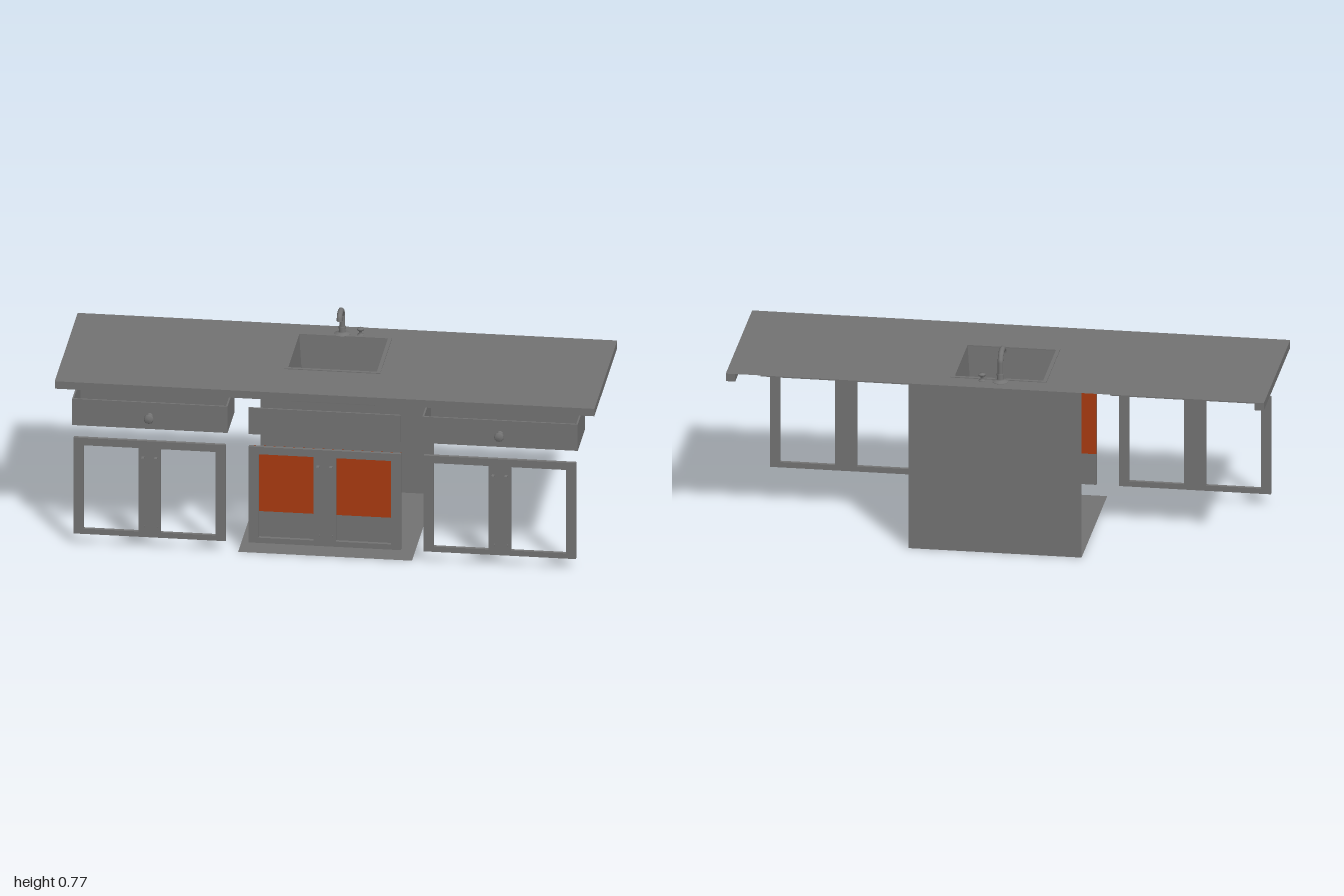
import * as THREE from 'three';

const grey = new THREE.MeshStandardMaterial({ color: 0x737373, side: THREE.DoubleSide });
grey.name = 'grey';
const orange = new THREE.MeshStandardMaterial({ color: 0xa83a10, side: THREE.DoubleSide });
orange.name = 'burnt orange';

function add(parent, name, geometry, material = grey) {
  const mesh = new THREE.Mesh(geometry, material);
  mesh.name = name;
  parent.add(mesh);
  return mesh;
}

// Box given by its limits on each axis
function box(parent, name, x0, x1, y0, y1, z0, z1, material) {
  const mesh = add(parent, name, new THREE.BoxGeometry(x1 - x0, y1 - y0, z1 - z0), material);
  mesh.position.set((x0 + x1) / 2, (y0 + y1) / 2, (z0 + z1) / 2);
  return mesh;
}

// Upright plane given by its limits
function sheet(parent, name, x0, x1, y0, y1, z, material) {
  const mesh = add(parent, name, new THREE.PlaneGeometry(x1 - x0, y1 - y0), material);
  mesh.position.set((x0 + x1) / 2, (y0 + y1) / 2, z);
  return mesh;
}

function rect(path, x0, x1, y0, y1) {
  path.moveTo(x0, y0);
  path.lineTo(x1, y0);
  path.lineTo(x1, y1);
  path.lineTo(x0, y1);
  path.closePath();
  return path;
}

// Pair of framed doors with two tall bar handles
function doorPair(parent, name, x) {
  const group = new THREE.Group();
  group.name = name;
  group.position.x = x;
  parent.add(group);
  const shape = rect(new THREE.Shape(), -0.282, 0.282, 0.044, 0.427);
  shape.holes.push(rect(new THREE.Path(), -0.245, -0.041, 0.065, 0.398));
  shape.holes.push(rect(new THREE.Path(), 0.041, 0.245, 0.065, 0.398));
  const frame = add(group, 'doorFrame', new THREE.ExtrudeGeometry(shape, { depth: 0.014, bevelEnabled: false }));
  frame.position.z = 0.292;
  for (const s of [-1, 1]) {
    const hx = s * 0.024;
    box(group, 'handleBar', hx - 0.005, hx + 0.005, 0.084, 0.366, 0.319, 0.325);
    for (const y of [0.087, 0.363]) box(group, 'handlePost', hx - 0.005, hx + 0.005, y - 0.003, y + 0.003, 0.304, 0.32);
  }
  return group;
}

// Open-topped drawer with a round knob
function drawer(parent, x) {
  const group = new THREE.Group();
  group.name = 'drawer';
  group.position.x = x;
  parent.add(group);
  const w = 0.288, y0 = 0.474, y1 = 0.579;
  box(group, 'drawerFront', -w, w, y0, y1, 0.293, 0.3);
  box(group, 'drawerBack', -w, w, y0, y1, 0.1, 0.106);
  box(group, 'drawerBottom', -w, w, y0, y0 + 0.006, 0.1, 0.293);
  for (const s of [-1, 1]) {
    const a = s * w, b = s * (w - 0.006);
    box(group, 'drawerSide', Math.min(a, b), Math.max(a, b), y0, y1, 0.1, 0.293);
  }
  const profile = [[0.012, 0], [0.012, 0.003], [0.009, 0.006], [0.009, 0.018], [0.015, 0.021],
    [0.018, 0.026], [0.018, 0.033], [0.014, 0.039], [0, 0.04]].map(p => new THREE.Vector2(...p));
  const knob = add(group, 'drawerKnob', new THREE.LatheGeometry(profile, 12));
  knob.rotation.x = Math.PI / 2;
  knob.position.set(0, 0.526, 0.3);
}

function countertop(parent) {
  // Top sheet with a sink cut-out, closed by lips at the front and both ends
  const shape = rect(new THREE.Shape(), -1, 1, -0.31, 0.337);
  shape.holes.push(rect(new THREE.Path(), -0.168, 0.166, -0.078, 0.243));
  const top = add(parent, 'countertop', new THREE.ShapeGeometry(shape));
  top.rotation.x = -Math.PI / 2;
  top.position.y = 0.65;
  box(parent, 'countertopFrontLip', -1, 1, 0.62, 0.6495, 0.28, 0.31);
  for (const s of [-1, 1]) {
    box(parent, 'countertopEndLip', s > 0 ? 0.965 : -1, s > 0 ? 1 : -0.965, 0.62, 0.6495, -0.337, 0.28);
  }
}

function sink(parent) {
  // Raised rim
  const shape = rect(new THREE.Shape(), -0.179, 0.177, -0.088, 0.253);
  shape.holes.push(rect(new THREE.Path(), -0.165, 0.163, -0.075, 0.24));
  const rim = add(parent, 'sinkRim', new THREE.ExtrudeGeometry(shape, { depth: 0.004, bevelEnabled: false }));
  rim.rotation.x = -Math.PI / 2;
  rim.position.y = 0.649;

  // Tapered open basin: a box without its top, narrowed towards the floor
  const g = new THREE.BoxGeometry(0.33, 0.137, 0.318);
  const p = g.attributes.position;
  for (let i = 0; i < p.count; i++) {
    if (p.getY(i) < 0) {
      p.setX(i, p.getX(i) * 0.94);
      p.setZ(i, p.getZ(i) * 0.945);
    }
  }
  const index = Array.from(g.index.array);
  index.splice(12, 6);
  g.setIndex(index);
  g.clearGroups();
  g.computeVertexNormals();
  add(parent, 'sinkBasin', g).position.set(-0.001, 0.5825, -0.081);

  const drain = add(parent, 'sinkDrain', new THREE.CylinderGeometry(0.027, 0.027, 0.004, 8));
  drain.position.set(-0.01, 0.516, -0.15);
}

function faucet(parent) {
  const group = new THREE.Group();
  group.name = 'faucet';
  group.position.set(-0.01, 0, -0.267);
  parent.add(group);
  const base = [[0.03, 0.65], [0.03, 0.653], [0.016, 0.658], [0.012, 0.662], [0.014, 0.68], [0.011, 0.682]];
  add(group, 'faucetBase', new THREE.LatheGeometry(base.map(q => new THREE.Vector2(...q)), 12));

  // Curved spout reaching forward over the basin
  const points = [[0.66, 0], [0.7, 0], [0.728, 0], [0.745, 0.012], [0.757, 0.027],
    [0.76, 0.047], [0.757, 0.066], [0.748, 0.077], [0.735, 0.08]];
  const path = new THREE.CurvePath();
  const v = points.map(([y, z]) => new THREE.Vector3(0, y, z));
  for (let i = 1; i < v.length; i++) path.add(new THREE.LineCurve3(v[i - 1], v[i]));
  add(group, 'faucetSpout', new THREE.TubeGeometry(path, 24, 0.0105, 10, false));
  const tip = add(group, 'spoutTip', new THREE.CircleGeometry(0.0105, 10));
  tip.rotation.x = Math.PI / 2;
  tip.position.set(0, 0.735, 0.08);

  // Small dispenser beside the spout
  const pump = [[0.013, 0.65], [0.013, 0.653], [0.006, 0.656], [0.006, 0.666], [0.013, 0.67], [0.013, 0.677], [0, 0.68]];
  add(group, 'dispenser', new THREE.LatheGeometry(pump.map(q => new THREE.Vector2(...q)), 10)).position.x = 0.068;
}

export function createModel() {
  const model = new THREE.Group();
  model.name = 'kitchenSinkCounter';

  countertop(model);
  sink(model);
  faucet(model);

  // Side units
  for (const s of [-1, 1]) {
    doorPair(model, 'sideDoors', s * 0.649);
    drawer(model, s * 0.649);
  }

  // Centre unit: doors with backing panels, false drawer front, back and floor
  const centre = doorPair(model, 'centreDoors', 0);
  sheet(centre, 'upperDoorPanel', -0.282, 0.282, 0.165, 0.427, 0.291, orange);
  sheet(centre, 'lowerDoorPanel', -0.282, 0.282, 0.044, 0.165, 0.291);
  box(model, 'falseDrawerFront', -0.284, 0.281, 0.474, 0.579, 0.293, 0.3);
  sheet(model, 'backPanel', -0.322, 0.322, 0, 0.649, -0.334);
  const floor = add(model, 'cabinetFloor', new THREE.PlaneGeometry(0.644, 0.63));
  floor.rotation.x = -Math.PI / 2;
  floor.position.z = -0.019;

  // Centre the depth on the origin
  const bounds = new THREE.Box3().setFromObject(model);
  const shift = (bounds.min.z + bounds.max.z) / 2;
  for (const child of model.children) child.position.z -= shift;
  return model;
}
